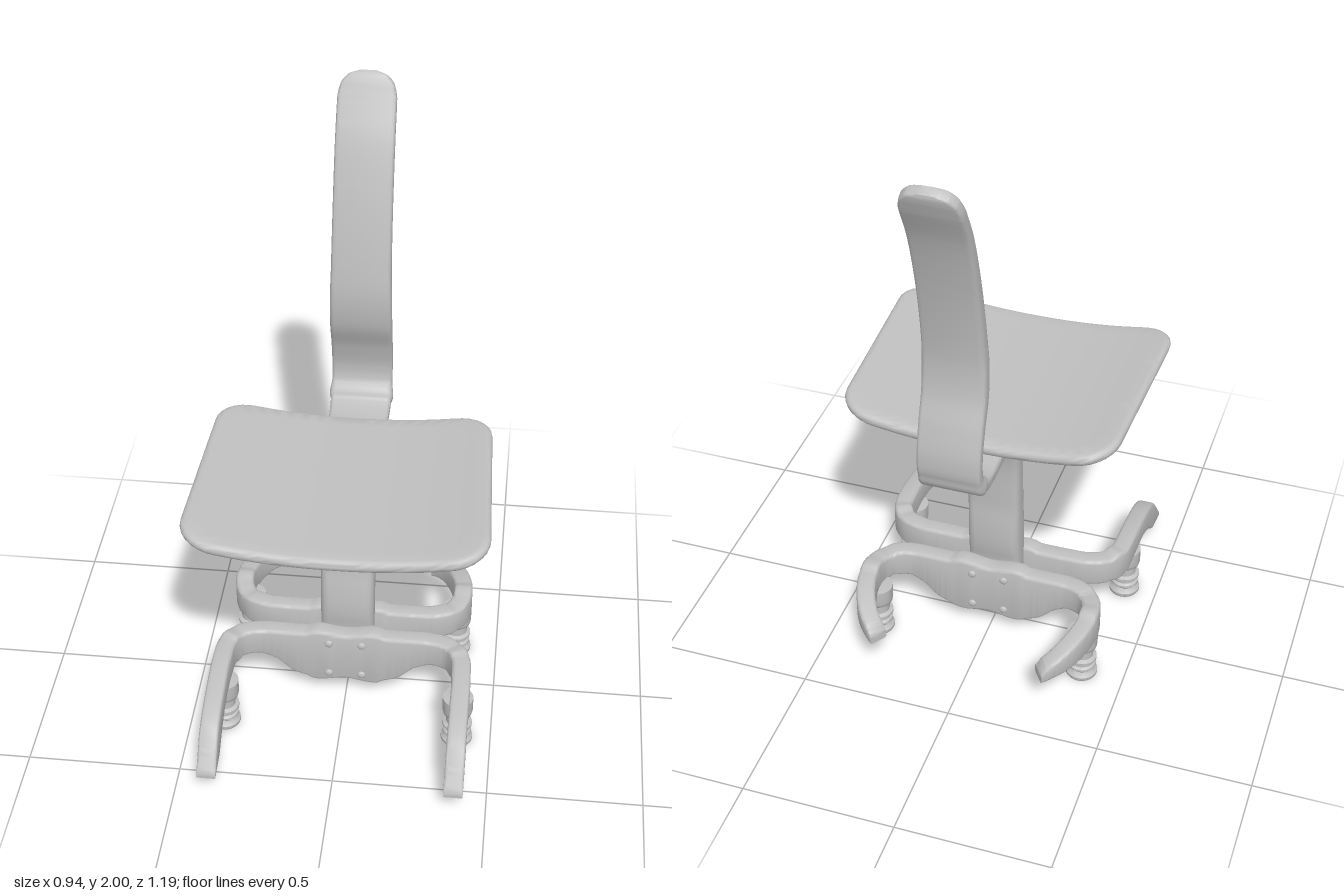
import * as THREE from 'three';
import { toCreasedNormals } from 'three/addons/utils/BufferGeometryUtils.js';

const V = (x, y, z) => new THREE.Vector3(x, y, z);

// Closed skin over a list of equal-length rings, with fan caps at both ends
function skin(rings, crease = 0.7) {
  const n = rings[0].length, pts = rings.flat(), idx = [];
  for (let i = 0; i < rings.length - 1; i++)
    for (let j = 0; j < n; j++) {
      const a = i * n + j, b = i * n + (j + 1) % n;
      idx.push(a, b, a + n, b, b + n, a + n);
    }
  [0, rings.length - 1].forEach((r, end) => {
    const c = rings[r].reduce((s, p) => s.add(p), V(0, 0, 0)).divideScalar(n);
    pts.push(c);
    for (let j = 0; j < n; j++) {
      const a = r * n + j, b = r * n + (j + 1) % n;
      idx.push(pts.length - 1, end ? a : b, end ? b : a);
    }
  });
  // turn the faces outward if the enclosed volume is negative
  let volume = 0;
  for (let i = 0; i < idx.length; i += 3)
    volume += pts[idx[i]].dot(pts[idx[i + 1]].clone().cross(pts[idx[i + 2]]));
  if (volume < 0) idx.reverse();
  const geo = new THREE.BufferGeometry().setFromPoints(pts);
  geo.setIndex(idx);
  return toCreasedNormals(geo, crease);
}

// Rounded rectangle as [u, v] pairs
function roundRect(hu, hv, r) {
  const out = [];
  for (let q = 0; q < 4; q++)
    for (let k = 0; k < 4; k++) {
      const a = (q + k / 3) * Math.PI / 2;
      const su = q === 0 || q === 3 ? 1 : -1, sv = q < 2 ? 1 : -1;
      out.push([su * (hu - r) + r * Math.cos(a), sv * (hv - r) + r * Math.sin(a)]);
    }
  return out;
}

// Sweep a rounded bar; each station is { p, along, across }, half sizes
// along the fixed axis and across it
function sweep(stations, axis, round, steps) {
  const path = new THREE.CatmullRomCurve3(stations.map(s => s.p));
  const sizes = new THREE.CatmullRomCurve3(stations.map(s => V(s.along, s.across, 0)));
  const rings = [];
  for (let i = 0; i <= steps; i++) {
    const t = i / steps, c = path.getPoint(t), s = sizes.getPoint(t);
    const side = path.getTangent(t).cross(axis).normalize();
    rings.push(roundRect(s.x, s.y, Math.min(s.x, s.y) * round)
      .map(([u, v]) => c.clone().addScaledVector(axis, u).addScaledVector(side, v)));
  }
  return skin(rings);
}

// Leg bracket from half a row of [x, z, bottom, top], mirrored in x
function bracket(half) {
  const row = [...half.slice(1).reverse().map(([x, ...r]) => [-x, ...r]), ...half];
  return sweep(row.map(([x, z, b, t]) => ({ p: V(x, (b + t) / 2, z), along: (t - b) / 2, across: 0.031 })),
    V(0, 1, 0), 0.4, 144);
}

// Dished seat: rounded outline, scaled into rings over the top, rim and underside
function seatGeometry() {
  const s = new THREE.Shape(), r = 0.11;
  const corners = [[-0.472, 0.497], [0.472, 0.497], [0.443, -0.25], [-0.443, -0.25]].map(c => new THREE.Vector2(...c));
  corners.forEach((c, i) => {
    const prev = corners[(i + 3) % 4], next = corners[(i + 1) % 4];
    const a = c.clone().add(prev.clone().sub(c).setLength(r)), b = c.clone().add(next.clone().sub(c).setLength(r));
    if (i) s.lineTo(a.x, a.y); else s.moveTo(a.x, a.y);
    const k = 0.56;
    const ca = a.clone().lerp(c, k), cb = b.clone().lerp(c, k);
    s.bezierCurveTo(ca.x, ca.y, cb.x, cb.y, b.x, b.y);
  });
  s.closePath();
  const outline = s.getSpacedPoints(120).slice(0, -1), cz = 0.125;
  const profile = [];
  for (let i = 1; i <= 10; i++) profile.push([i * 0.095, 0.021]);
  for (let i = 1; i < 8; i++) {
    const a = i * Math.PI / 8;
    profile.push([0.95 + 0.05 * Math.sin(a), 0.021 * Math.cos(a)]);
  }
  for (let i = 10; i >= 1; i--) profile.push([i * 0.095, -0.021]);
  return skin(profile.map(([k, h]) => outline.map(p => {
    const x = p.x * k, z = cz + (p.y - cz) * k;
    return V(x, 0.901 + 0.054 * Math.pow(Math.abs(x) / 0.47, 2.2) + h, z);
  })), 0.9);
}

export function createModel() {
  const model = new THREE.Group();
  const grey = new THREE.MeshStandardMaterial({ color: 0xc0c0c0 });
  grey.name = 'grey';
  const add = (name, geo, x = 0, y = 0, z = 0) => {
    const m = new THREE.Mesh(geo, grey);
    m.name = name;
    m.position.set(x, y, z);
    model.add(m);
    return m;
  };

  add('seat', seatGeometry());

  // Post, under-seat arm and backrest in one bent strip: [z, y, thickness, half width]
  const strip = [
    [0.012, 0.08, 0.07, 0.088], [0.014, 0.27, 0.08, 0.088], [0.004, 0.5, 0.08, 0.088],
    [-0.008, 0.7, 0.078, 0.088], [-0.032, 0.79, 0.082, 0.088], [-0.078, 0.843, 0.08, 0.09],
    [-0.14, 0.861, 0.055, 0.093], [-0.22, 0.864, 0.045, 0.096], [-0.32, 0.867, 0.04, 0.098],
    [-0.39, 0.885, 0.044, 0.1], [-0.433, 0.935, 0.044, 0.1], [-0.441, 1.0, 0.04, 0.1],
    [-0.42, 1.1, 0.043, 0.1], [-0.385, 1.2, 0.053, 0.1], [-0.374, 1.3, 0.056, 0.099],
    [-0.382, 1.4, 0.055, 0.096], [-0.421, 1.6, 0.05, 0.094], [-0.483, 1.8, 0.045, 0.093],
    [-0.543, 1.92, 0.04, 0.092], [-0.562, 1.96, 0.038, 0.082], [-0.573, 1.983, 0.036, 0.06],
    [-0.579, 1.994, 0.03, 0.025],
  ];
  add('postAndBackrest', sweep(strip.map(([z, y, t, w]) => ({ p: V(0, y, z), along: w, across: t / 2 })),
    V(1, 0, 0), 0.55, 168));

  // Leg brackets either side of the post
  const web = z => [[0, z, 0.08, 0.27], [0.13, z, 0.08, 0.27], [0.18, z, 0.1, 0.27], [0.23, z, 0.145, 0.27]];
  add('frontLegs', bracket([...web(0.075),
    [0.29, 0.078, 0.168, 0.27], [0.35, 0.1, 0.17, 0.27], [0.385, 0.15, 0.17, 0.27], [0.394, 0.24, 0.172, 0.267],
    [0.395, 0.35, 0.168, 0.252], [0.395, 0.44, 0.13, 0.23], [0.395, 0.5, 0.085, 0.203],
    [0.395, 0.55, 0.072, 0.15], [0.395, 0.597, 0.07, 0.086]]));
  add('rearLegs', bracket([...web(-0.055),
    [0.28, -0.058, 0.168, 0.27], [0.335, -0.08, 0.17, 0.27], [0.37, -0.13, 0.17, 0.27], [0.376, -0.21, 0.168, 0.268],
    [0.358, -0.285, 0.165, 0.257], [0.325, -0.35, 0.16, 0.235], [0.29, -0.388, 0.153, 0.21], [0.273, -0.4, 0.15, 0.185]]));

  // Turned feet under the legs
  const footProfile = [
    [0, 0], [0.048, 0], [0.052, 0.006], [0.052, 0.016], [0.044, 0.024], [0.04, 0.032], [0.047, 0.04],
    [0.047, 0.048], [0.04, 0.054], [0.04, 0.062], [0.049, 0.07], [0.049, 0.078], [0.037, 0.084],
    [0.037, 0.112], [0.047, 0.122], [0.05, 0.135], [0.05, 0.185], [0, 0.19],
  ].map(([x, y]) => new THREE.Vector2(x, y));
  const foot = toCreasedNormals(new THREE.LatheGeometry(footProfile, 32), 0.6);
  // Round bolt heads on both brackets
  const bolt = new THREE.SphereGeometry(0.014, 16, 10);
  for (const side of [-1, 1]) {
    add('frontFoot', foot, side * 0.388, 0, 0.26);
    add('rearFoot', foot, side * 0.358, 0, -0.18);
    for (const y of [0.105, 0.235])
      for (const z of [0.106, -0.086])
        add('bolt', bolt, side * 0.055, y, z).scale.z = 0.6;
  }
  return model;
}
